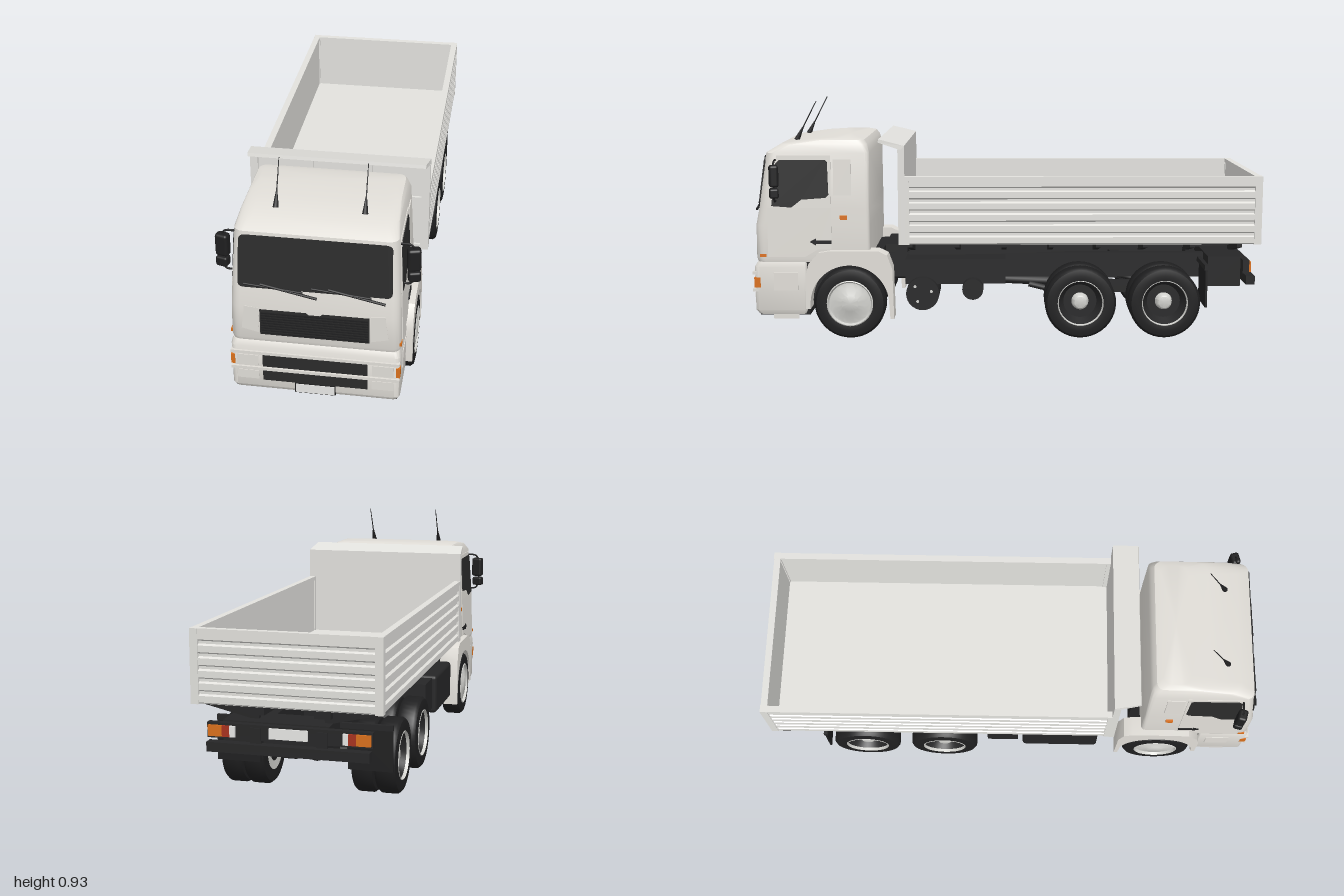
import * as THREE from 'three';
import { toCreasedNormals } from 'three/addons/utils/BufferGeometryUtils.js';
import { RoundedBoxGeometry } from 'three/addons/geometries/RoundedBoxGeometry.js';

export function createModel() {
  const root = new THREE.Group();
  root.name = 'truck';
  const paint = (name, color) => {
    const m = new THREE.MeshStandardMaterial({ color });
    m.name = name;
    return m;
  };
  const body = paint('cabPaint', 0xe0ddd7), bedMat = paint('bedPaint', 0xe2e1dd);
  const glass = paint('darkGlass', 0x2a2a2a), rubber = paint('tyreBlack', 0x1f1f20);
  const steel = paint('chassisBlack', 0x262627), rim = paint('rimSilver', 0xd0d0cc);
  const orange = paint('indicatorOrange', 0xd9701c), red = paint('lampRed', 0xa8321e);
  const white = paint('plateWhite', 0xf0f0ee);

  // ---- helpers ----
  const add = (name, geo, mat) => {
    const m = new THREE.Mesh(geo, mat);
    m.name = name;
    root.add(m);
    return m;
  };
  const mirrored = (geo) => {
    const g = geo.index ? geo.toNonIndexed() : geo.clone();
    g.scale(-1, 1, 1);
    for (const a of Object.values(g.attributes)) {
      const n = a.itemSize;
      for (let t = 0; t < a.count; t += 3)
        for (let k = 0; k < n; k++) {
          const i = (t + 1) * n + k, j = (t + 2) * n + k;
          [a.array[i], a.array[j]] = [a.array[j], a.array[i]];
        }
    }
    return g;
  };
  const pair = (name, geo, mat) => { add(name + 'Left', geo, mat); add(name + 'Right', mirrored(geo), mat); };
  // box from its limits
  const box = (x0, x1, y0, y1, z0, z1) => new THREE.BoxGeometry(x1 - x0, y1 - y0, z1 - z0)
    .translate((x0 + x1) / 2, (y0 + y1) / 2, (z0 + z1) / 2);
  const rod = (a, b, r0, r1 = r0, seg = 10) => {
    const A = new THREE.Vector3(...a), B = new THREE.Vector3(...b), d = B.clone().sub(A);
    const q = new THREE.Quaternion().setFromUnitVectors(new THREE.Vector3(0, 1, 0), d.clone().normalize());
    return new THREE.CylinderGeometry(r1, r0, d.length(), seg).applyQuaternion(q)
      .translate(...A.add(B).multiplyScalar(0.5).toArray());
  };
  const poly = (pts) => new THREE.Shape(pts.map(([x, y]) => new THREE.Vector2(x, y)));
  const extrude = (shape, depth) => new THREE.ExtrudeGeometry(shape, { depth, bevelEnabled: false, curveSegments: 20 });
  // side profile given as [z, y], extruded from x0 to x1
  const profile = (pts, x0, x1) => extrude(poly(pts.map(([z, y]) => [-z, y])), x1 - x0)
    .rotateY(Math.PI / 2).translate(x0, 0, 0);
  // rounded rectangular rings [y, halfWidth, zFront, zBack, frontRadius, backRadius]
  const loft = (levels) => {
    const pos = [], idx = [], N = 24;
    for (const [y, w, zf, zb, rf, rb] of levels)
      for (let c = 0; c < 4; c++)
        for (let k = 0; k < 6; k++) {
          const a = (c + k / 5) * Math.PI / 2, r = c < 2 ? rf : rb;
          const cx = (c === 0 || c === 3 ? 1 : -1) * (w - r), cz = c < 2 ? zf - r : zb + r;
          pos.push(cx + r * Math.cos(a), y, cz + r * Math.sin(a));
        }
    const L = levels.length, mid = (l) => pos.push(0, l[0], (l[2] + l[3]) / 2);
    mid(levels[0]);
    mid(levels[L - 1]);
    for (let i = 0; i < N; i++) {
      const j = (i + 1) % N, t = (L - 1) * N;
      for (let l = 0; l < L - 1; l++) {
        const o = l * N, p = o + N;
        idx.push(o + i, p + i, p + j, o + i, p + j, o + j);
      }
      idx.push(L * N, i, j, L * N + 1, t + j, t + i);
    }
    const g = new THREE.BufferGeometry();
    g.setAttribute('position', new THREE.Float32BufferAttribute(pos, 3));
    g.setIndex(idx);
    return toCreasedNormals(g, 0.6);
  };

  // ---- cab ----
  add('cabShell', loft([
    [0.305, 0.303, 0.98, 0.535, 0.035, 0.015], [0.32, 0.305, 0.985, 0.535, 0.035, 0.015],
    [0.45, 0.301, 0.985, 0.535, 0.035, 0.015], [0.52, 0.299, 0.971, 0.535, 0.035, 0.015],
    [0.735, 0.288, 0.94, 0.535, 0.035, 0.02], [0.768, 0.279, 0.885, 0.543, 0.05, 0.03],
    [0.785, 0.271, 0.77, 0.555, 0.05, 0.03], [0.791, 0.25, 0.69, 0.58, 0.04, 0.03]]), body);
  add('bumper', loft([
    [0.094, 0.298, 0.98, 0.79, 0.02, 0.01], [0.112, 0.305, 0.992, 0.785, 0.02, 0.01],
    [0.285, 0.305, 0.992, 0.785, 0.02, 0.01], [0.305, 0.3, 0.98, 0.785, 0.02, 0.01]]), body);
  add('cabUnderside', box(-0.295, 0.295, 0.091, 0.1, 0.775, 0.972), steel);
  add('bumperBackPlate', box(-0.295, 0.295, 0.093, 0.305, 0.775, 0.79), steel);
  add('engineBlock', box(-0.19, 0.19, 0.13, 0.32, 0.5, 0.79), steel);

  // windscreen tilted onto the cab front
  const screen = new THREE.Shape();
  screen.moveTo(-0.25, -0.1);
  screen.lineTo(0.25, -0.1);
  screen.quadraticCurveTo(0.272, -0.1, 0.272, -0.08);
  screen.lineTo(0.268, 0.08);
  screen.quadraticCurveTo(0.267, 0.098, 0.24, 0.098);
  screen.lineTo(-0.24, 0.098);
  screen.quadraticCurveTo(-0.267, 0.098, -0.268, 0.08);
  screen.lineTo(-0.272, -0.08);
  screen.quadraticCurveTo(-0.272, -0.1, -0.25, -0.1);
  add('windscreen', extrude(screen, 0.008).rotateX(-0.143).translate(0, 0.625, 0.952), glass);
  for (const x of [-0.25, -0.01]) {
    add('wiperBlade', rod([x, 0.545, 0.979], [x + 0.21, 0.528, 0.984], 0.004), rubber);
    add('wiperArm', rod([x + 0.06, 0.548, 0.98], [x + 0.26, 0.508, 0.985], 0.005), rubber);
  }

  // grille and front trim
  add('grille', extrude(poly([[-0.195, 0.34], [0.195, 0.34], [0.195, 0.445], [0.03, 0.445], [0.02, 0.437],
    [-0.02, 0.437], [-0.03, 0.445], [-0.195, 0.445]]), 0.006).translate(0, 0, 0.982), glass);
  for (let i = 0; i < 9; i++) add('grilleSlat', box(-0.19, 0.19, 0.346 + i * 0.0105, 0.351 + i * 0.0105, 0.986, 0.992), rubber);
  pair('cheekPanel', extrude(poly([[0.2, 0.345], [0.262, 0.36], [0.25, 0.455], [0.2, 0.45]]), 0.005).translate(0, 0, 0.981), body);
  for (const [y0, y1] of [[0.2, 0.25], [0.14, 0.182]]) {
    add('bumperVent', box(-0.19, 0.19, y0, y1, 0.988, 0.994), glass);
    pair('headlampPanel', box(0.205, 0.283, y0 + 0.003, y1 - 0.003, 0.988, 0.994), body);
  }
  for (const y of [0.186, 0.255]) add('bumperLedge', box(-0.304, 0.304, y, y + 0.012, 0.9, 0.999), body);
  pair('cornerIndicator', box(0.291, 0.3058, 0.203, 0.243, 0.968, 0.993), orange);
  add('plateFrame', box(-0.074, 0.074, 0.097, 0.139, 0.985, 0.994), rubber);
  add('numberPlate', box(-0.07, 0.07, 0.1, 0.136, 0.99, 0.996), white);

  // doors and side glass, leaned to follow the cab side
  const wall = (y) => y > 0.52 ? 0.299 - (y - 0.52) * 0.051 : 0.305 - (y - 0.32) * 0.03;
  const sidePlate = (name, pts, t, mat) => {
    const g = profile(pts, -0.01, t), p = g.attributes.position;
    for (let i = 0; i < p.count; i++) p.setX(i, p.getX(i) + wall(p.getY(i)));
    g.computeVertexNormals();
    pair(name, g, mat);
  };
  sidePlate('lowerDoor', [[0.935, 0.325], [0.79, 0.325], [0.74, 0.355], [0.685, 0.355], [0.685, 0.52], [0.935, 0.52]], 0.003, body);
  sidePlate('upperDoor', [[0.93, 0.52], [0.685, 0.52], [0.685, 0.725], [0.895, 0.725]], 0.003, body);
  sidePlate('sideWindow', [[0.918, 0.528], [0.84, 0.522], [0.8, 0.553], [0.705, 0.56], [0.694, 0.572], [0.698, 0.7],
    [0.708, 0.709], [0.885, 0.709], [0.899, 0.695]], 0.006, glass);
  sidePlate('rearCornerPanel', [[0.675, 0.57], [0.605, 0.57], [0.605, 0.71], [0.675, 0.71]], 0.004, body);
  sidePlate('doorHandle', [[0.77, 0.386], [0.745, 0.4], [0.745, 0.392], [0.685, 0.392], [0.685, 0.378], [0.745, 0.378],
    [0.745, 0.372]], 0.007, rubber);
  sidePlate('sideMarker', [[0.65, 0.474], [0.622, 0.474], [0.622, 0.49], [0.65, 0.49]], 0.008, orange);
  sidePlate('lowMarker', [[0.968, 0.325], [0.942, 0.325], [0.942, 0.337], [0.968, 0.337]], 0.002, orange);
  pair('stepRecess', box(0.3, 0.308, 0.19, 0.262, 0.82, 0.915), body);
  pair('entryStep', box(0.29, 0.298, 0.075, 0.14, 0.82, 0.92), body);

  // mirrors and aerials
  pair('mainMirror', new RoundedBoxGeometry(0.048, 0.086, 0.036, 3, 0.01).rotateY(0.25).translate(0.336, 0.65, 0.9), rubber);
  pair('wideMirror', new RoundedBoxGeometry(0.044, 0.038, 0.036, 3, 0.008).rotateY(0.25).translate(0.338, 0.583, 0.9), rubber);
  pair('mirrorArm', new THREE.TubeGeometry(new THREE.CatmullRomCurve3([[0.28, 0.708], [0.325, 0.706], [0.337, 0.69],
    [0.338, 0.57], [0.325, 0.55], [0.288, 0.55]].map(([x, y]) => new THREE.Vector3(x, y, 0.9))), 30, 0.004, 6), rubber);
  pair('aerialBase', rod([0.157, 0.775, 0.835], [0.157, 0.825, 0.81], 0.011, 0.003), rubber);
  pair('aerial', rod([0.157, 0.82, 0.812], [0.157, 0.93, 0.755], 0.0025, 0.0015, 6), rubber);

  // front wheel arches
  const arch = poly([[-0.769, 0.12], [-0.787, 0.12], [-0.787, 0.25], [-0.775, 0.3], [-0.735, 0.345], [-0.69, 0.352],
    [-0.5, 0.352], [-0.465, 0.335], [-0.445, 0.28], [-0.44, 0.08], [-0.455, 0.08], [-0.459, 0.14]]);
  arch.absarc(-0.614, 0.14, 0.155, 0, Math.PI, false);
  pair('frontFender', toCreasedNormals(extrude(arch, 0.08).rotateY(Math.PI / 2).translate(0.249, 0, 0), 0.5), body);

  // ---- wheels ----
  const lathe = (pts, x, z) => toCreasedNormals(new THREE.LatheGeometry(pts.map(([r, h]) => new THREE.Vector2(r, h)), 40)
    .rotateZ(-Math.PI / 2), 0.7).translate(x, 0.142, z);
  const tyre = [[0, -0.038], [0.085, -0.038], [0.11, -0.042], [0.132, -0.038], [0.141, -0.027], [0.141, 0.027],
    [0.132, 0.038], [0.11, 0.042], [0.09, 0.04]];
  const backRim = [[0.055, -0.039], [0.088, -0.0405]];
  pair('frontTyre', lathe(tyre, 0.288, 0.614), rubber);
  pair('frontBackRim', lathe(backRim, 0.288, 0.614), rim);
  pair('frontRim', lathe([[0.092, 0.04], [0.088, 0.043], [0.082, 0.032], [0.074, 0.032], [0.06, 0.038], [0.035, 0.041],
    [0.032, 0.043], [0, 0.043]], 0.288, 0.614), rim);
  for (const z of [-0.297, -0.63]) {
    pair('innerTyre', lathe(tyre, 0.205, z), rubber);
    pair('innerBackRim', lathe(backRim, 0.205, z), rim);
    pair('outerTyre', lathe(tyre, 0.291, z), rubber);
    pair('rearRimRing', lathe([[0.091, 0.04], [0.089, 0.042], [0.086, 0.03]], 0.291, z), rim);
    pair('rearRimDish', lathe([[0.086, 0.03], [0.066, -0.01], [0.032, -0.01]], 0.291, z), steel);
    pair('rearHub', lathe([[0.034, -0.01], [0.029, 0.016], [0.023, 0.022], [0, 0.024]], 0.291, z), rim);
    add('rearAxle', rod([-0.2, 0.142, z], [0.2, 0.142, z], 0.03, 0.03, 14), steel);
    add('differential', new THREE.SphereGeometry(0.05, 16, 12).translate(0, 0.148, z), steel);
    pair('axleRod', rod([0.13, 0.13, z], [0.13, 0.18, z + 0.2], 0.012), steel);
  }
  add('frontAxle', rod([-0.26, 0.14, 0.614], [0.26, 0.14, 0.614], 0.025), steel);
  add('driveShaft', rod([0, 0.2, 0.5], [0, 0.145, -0.6], 0.02), steel);

  // ---- chassis ----
  pair('frameRail', box(0.1, 0.135, 0.21, 0.31, -0.95, 0.8), steel);
  for (const z of [0.42, 0.1, -0.15, -0.46, -0.78]) add('frameCrossmember', box(-0.1, 0.1, 0.22, 0.29, z - 0.02, z + 0.02), steel);
  pair('subframeRail', profile([[0.39, 0.385], [-0.96, 0.385], [-0.96, 0.345], [-0.15, 0.315], [0.39, 0.3]], 0.09, 0.15), steel);
  add('airIntake', box(-0.13, 0.13, 0.29, 0.345, 0.4, 0.488), steel);
  pair('springPack', box(0.135, 0.16, 0.15, 0.2, -0.7, -0.22), steel);
  for (let i = 0; i < 8; i++)
    pair('bedOutrigger', extrude(poly([[0.12, 0.325], [0.15, 0.325], [0.322, 0.365], [0.322, 0.385], [0.12, 0.385]]), 0.02)
      .translate(0, 0, 0.365 - i * 0.185), steel);
  // right and left side equipment
  add('batteryBox', box(0.13, 0.25, 0.205, 0.305, 0, 0.4), steel);
  add('airCleaner', rod([0.12, 0.17, 0.33], [0.28, 0.17, 0.33], 0.066, 0.066, 28), steel);
  for (const [dy, dz] of [[0.03, 0.03], [-0.03, 0.02], [0.01, -0.035]])
    add('cleanerBolt', rod([0.28, 0.17 + dy, 0.33 + dz], [0.283, 0.17 + dy, 0.33 + dz], 0.006), rim);
  add('airTank', rod([0.12, 0.19, 0.13], [0.29, 0.19, 0.13], 0.042, 0.042, 24), steel);
  add('fuelTank', new RoundedBoxGeometry(0.18, 0.16, 0.32, 2, 0.015).translate(-0.225, 0.215, 0.2), steel);
  add('toolBox', box(-0.3, -0.135, 0.16, 0.29, -0.11, 0.02), steel);

  // rear end
  add('rearBox', box(-0.14, 0.25, 0.195, 0.315, -0.94, -0.81), steel);
  pair('mudFlap', box(0.165, 0.33, 0.125, 0.28, -0.796, -0.788), rubber);
  pair('flapBracket', box(0.13, 0.33, 0.275, 0.295, -0.8, -0.784), steel);
  add('lampBar', box(-0.3, 0.3, 0.255, 0.31, -0.965, -0.94), steel);
  add('rearBumperBar', box(-0.295, 0.295, 0.21, 0.245, -0.99, -0.955), steel);
  pair('bumperStay', box(0.1, 0.14, 0.21, 0.3, -0.97, -0.93), steel);
  for (const [x0, x1, m] of [[0.195, 0.215, white], [0.215, 0.243, red], [0.243, 0.295, orange]])
    pair('rearLamp', box(x0, x1, 0.262, 0.302, -0.973, -0.955), m);
  add('rearPlate', box(-0.07, 0.07, 0.265, 0.303, -0.972, -0.963), white);

  // ---- cargo bed ----
  add('bedFloor', box(-0.33, 0.33, 0.383, 0.402, -0.99, 0.4), bedMat);
  pair('bedSide', box(0.322, 0.334, 0.38, 0.645, -0.99, 0.4), bedMat);
  add('tailgate', box(-0.334, 0.334, 0.38, 0.645, -0.988, -0.976), bedMat);
  const rib = (y, h, len) => extrude(poly([[0, y - h], [0.01, y - h * 0.65], [0.01, y + h * 0.65], [0, y + h]]), len);
  for (let i = 0; i < 6; i++) {
    const y = 0.398 + i * 0.0445, h = 0.018;
    pair('sideRib', rib(y, h, 1.38).translate(0.333, 0, -0.985), bedMat);
    add('tailRib', rib(y, h, 0.66).rotateY(Math.PI / 2).translate(-0.33, 0, -0.987), bedMat);
  }
  pair('rearPost', box(0.316, 0.345, 0.38, 0.648, -1, -0.972), bedMat);
  pair('frontPost', box(0.318, 0.345, 0.38, 0.648, 0.375, 0.4), bedMat);
  pair('topRail', box(0.318, 0.344, 0.632, 0.648, -0.99, 0.4), bedMat);
  add('tailTopRail', box(-0.33, 0.33, 0.632, 0.648, -0.998, -0.972), bedMat);
  // headboard with forward-leaning lip, narrowing toward its front edge
  const board = profile([[0.392, 0.38], [0.406, 0.38], [0.406, 0.752], [0.495, 0.78], [0.492, 0.793], [0.392, 0.768]], -0.345, 0.345);
  const bp = board.attributes.position;
  for (let i = 0; i < bp.count; i++) if (bp.getZ(i) > 0.45) bp.setX(i, bp.getX(i) * 0.97);
  board.computeVertexNormals();
  add('headboard', board, bedMat);
  pair('headboardStile', box(0.315, 0.345, 0.38, 0.755, 0.4, 0.418), bedMat);
  pair('headboardPost', box(0.1, 0.125, 0.38, 0.755, 0.4, 0.416), bedMat);
  for (const y of [0.38, 0.59, 0.735]) add('headboardRail', box(-0.33, 0.33, y, y + 0.02, 0.4, 0.416), bedMat);

  return root;
}
